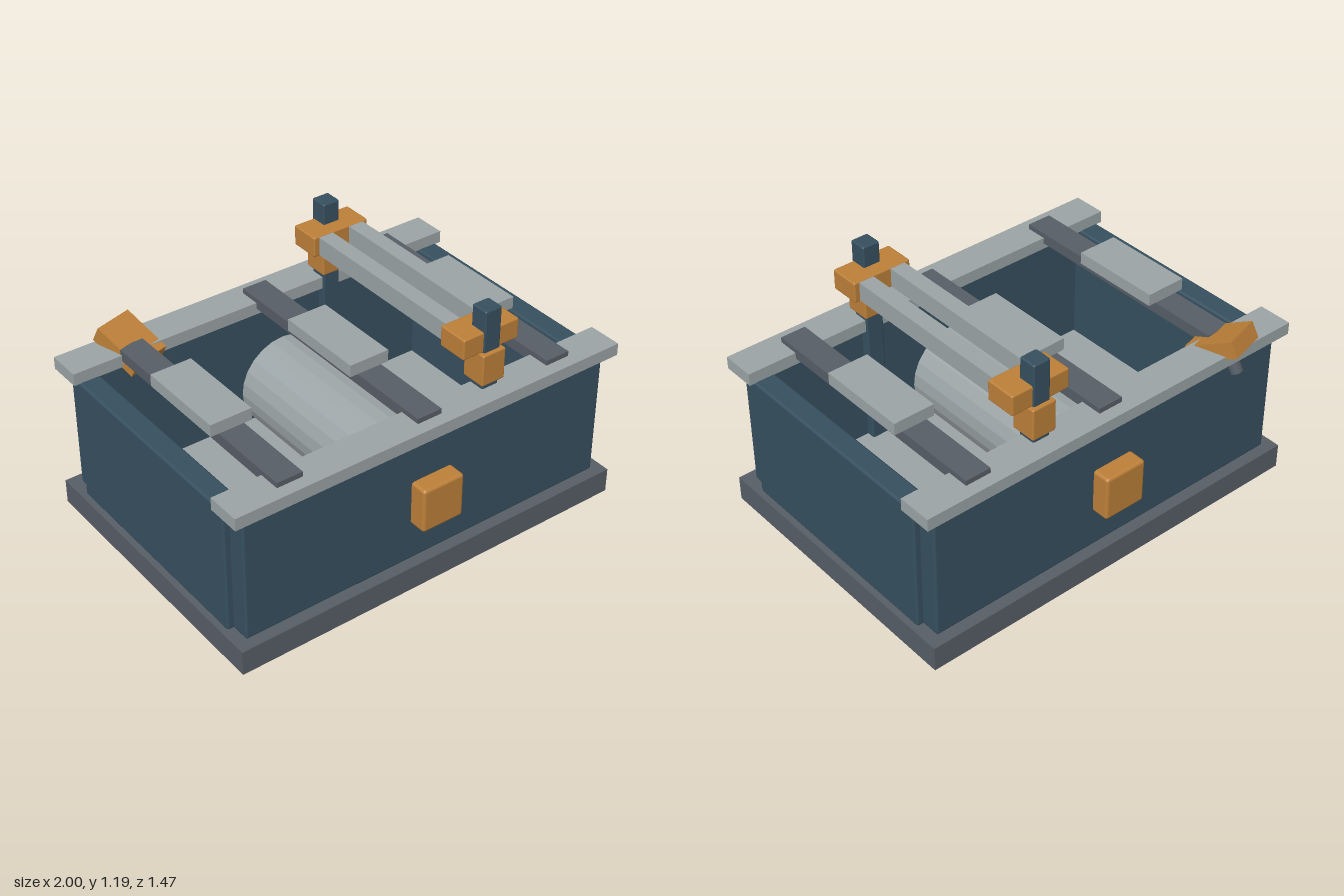
import * as THREE from 'three';
import { RoundedBoxGeometry } from 'three/addons/geometries/RoundedBoxGeometry.js';

const mat = (name, color) => {
  const m = new THREE.MeshStandardMaterial({ color });
  m.name = name;
  return m;
};

export function createModel() {
  const blue = mat('slate blue', 0x36505f);
  const orange = mat('ochre', 0xbd8039);
  const light = mat('light grey', 0x9ba4a6);
  const dark = mat('dark grey', 0x575e67);
  const model = new THREE.Group();
  model.name = 'tank';

  // Box given by its extents on each axis; r > 0 softens the edges
  const box = (name, material, [x0, x1], [y0, y1], [z0, z1], r = 0) => {
    const s = [x1 - x0, y1 - y0, z1 - z0];
    const geo = r ? new RoundedBoxGeometry(...s, 2, r) : new THREE.BoxGeometry(...s);
    const mesh = new THREE.Mesh(geo, material);
    mesh.name = name;
    mesh.position.set((x0 + x1) / 2, (y0 + y1) / 2, (z0 + z1) / 2);
    model.add(mesh);
    return mesh;
  };
  const span = (s, a, b) => (s > 0 ? [a, b] : [-b, -a]);

  // Base and tank floor
  box('base', dark, [-1, 1], [0.02, 0.14], [-0.7, 0.7]);
  box('floor', light, [-0.88, 0.88], [0.13, 0.17], [-0.57, 0.57]);

  for (const s of [1, -1]) {
    // Walls, top rails and end handles
    box('sideWall', blue, span(s, 0.87, 0.975), [0.14, 0.757], [-0.56, 0.56], 0.012);
    box('longWall', blue, [-0.945, 0.945], [0.14, 0.757], span(s, 0.55, 0.65), 0.012);
    box('rail', light, [-1, 1], [0.755, 0.814], span(s, 0.52, 0.685));
    box('handle', orange, [-0.107, 0.107], [0.333, 0.551], span(s, 0.64, 0.735), 0.015);

    // Gantry post with its two clamp blocks
    box('post', blue, [0.305, 0.392], [s < 0 ? 0.015 : 0.1, 1.193], span(s, 0.508, 0.595), 0.008);
    box('lowerClamp', orange, [0.288, 0.41], [0.84, 0.993], span(s, 0.49, 0.613), 0.008);
    box('upperClamp', orange, [0.2, 0.497], [0.993, 1.092], span(s, 0.438, 0.588), 0.008);

    // Gantry bars
    box('gantryBar', light, [0.349 + s * 0.083 - 0.038, 0.349 + s * 0.083 + 0.038], [0.997, 1.087], [-0.45, 0.45]);
  }

  // Cross straps with raised pads
  for (const x of [-0.7, 0, 0.7]) {
    box('strap', dark, [x - 0.062, x + 0.062], [0.785, 0.838], [x < 0 ? -0.55 : -0.625, 0.625]);
    box('pad', light, [x - 0.1, x + 0.1], [0.838, 0.896], [-0.223, 0.223]);
  }

  // Drum lying inside the tank
  const drumGeo = new THREE.CylinderGeometry(0.225, 0.225, 0.82, 24).toNonIndexed();
  drumGeo.computeVertexNormals();
  const drum = new THREE.Mesh(drumGeo, light);
  drum.name = 'drum';
  drum.rotation.x = Math.PI / 2;
  drum.position.set(0, 0.445, 0);
  model.add(drum);

  // Tilted lever block on its stub
  const lever = new THREE.Group();
  lever.name = 'lever';
  const block = new THREE.Mesh(new THREE.BoxGeometry(0.19, 0.08, 0.24), orange);
  block.name = 'leverBlock';
  const stub = new THREE.Mesh(new THREE.CylinderGeometry(0.03, 0.03, 0.15, 12), dark);
  stub.name = 'leverStub';
  stub.position.set(0, -0.075, -0.02);
  lever.add(block, stub);
  lever.rotation.set(0.45, 0.28, 0, 'YXZ');
  lever.position.set(-0.68, 0.81, -0.59);
  model.add(lever);

  // Small fittings under the base
  box('centrePin', dark, [-0.015, 0.015], [0, 0.03], [-0.015, 0.015]);
  box('backFoot', dark, [-0.012, 0.012], [0.01, 0.03], [-0.53, -0.47]);
  const tab = box('tab', orange, [0.46, 0.55], [0.01, 0.03], [-0.015, 0.015]);
  tab.rotation.z = 0.1;

  return model;
}
